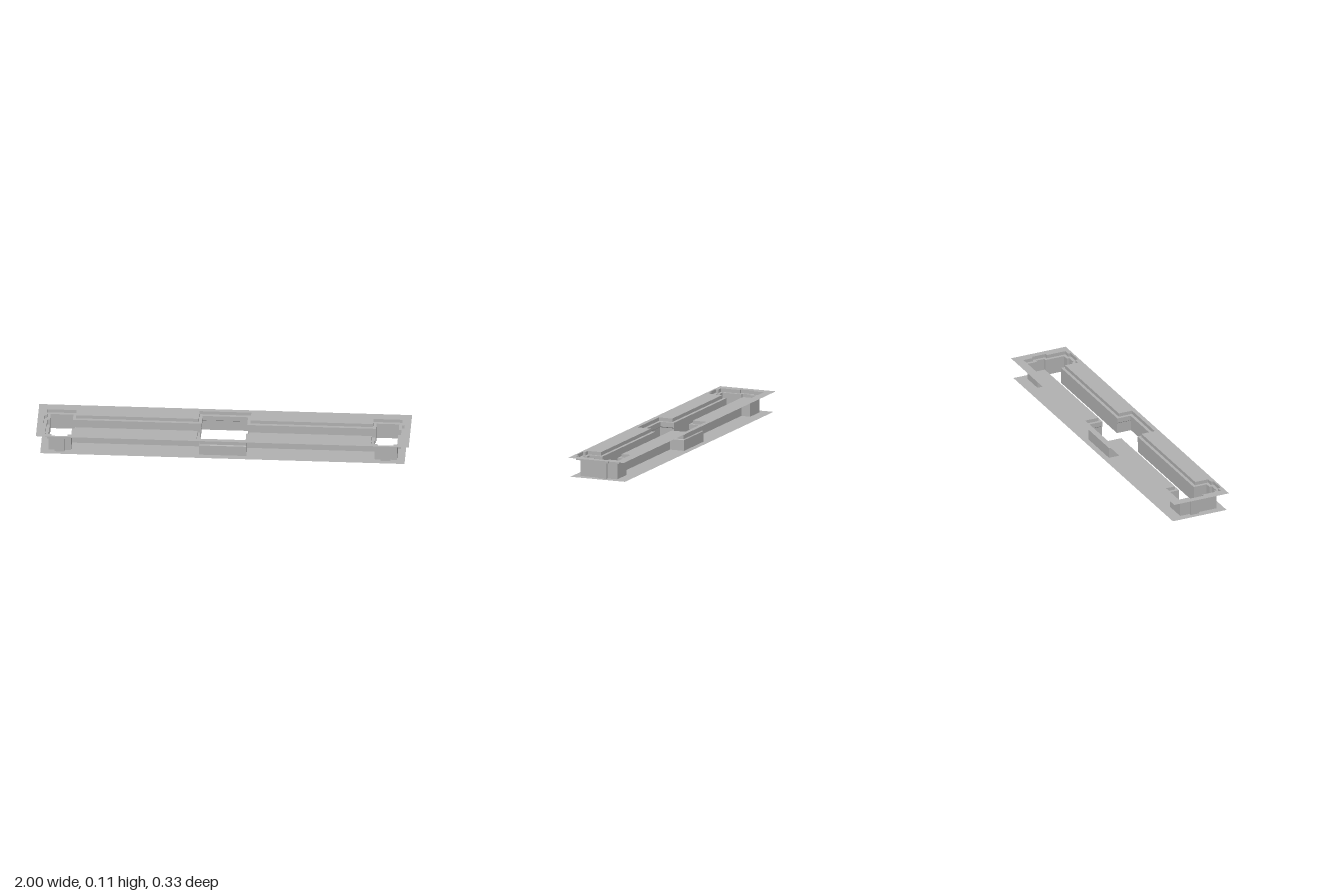
import * as THREE from 'three';

const grey = new THREE.MeshStandardMaterial({ color: 0xb0b0b0, side: THREE.DoubleSide });
grey.name = 'grey';
grey.flatShading = true;

// Cutout outline as [x, z] points; g widens it all round, c is the half size of the centre bay.
function outline(g, c) {
  const strip = 0.044 + g, inner = 0.813 - g, end = 0.935 + g;
  const back = -0.096 - g, front = 0.121 + g, tab = 0.136 + g;
  const half = [
    [c, -c], [c, -strip],
    [inner, -strip], [inner, back], [end, back],
    [end, -0.039 - g], [end + 0.015, -0.039 - g], [end + 0.015, 0.01 + g], [end, 0.01 + g],
    [end, front], [0.901 + g, front], [0.901 + g, tab], [0.847 - g, tab], [0.847 - g, front],
    [inner, front], [inner, strip], [c, strip], [c, c],
  ];
  return [...half, ...half.map(([x, z]) => [-x, z]).reverse()];
}

// Walls joining successive outlines, each given as [y, points]
function walls(name, rings) {
  const pos = [];
  for (let r = 0; r < rings.length - 1; r++) {
    const [ya, a] = rings[r], [yb, b] = rings[r + 1];
    for (let i = 0; i < a.length; i++) {
      const j = (i + 1) % a.length;
      const p = [a[i][0], ya, a[i][1]], q = [a[j][0], ya, a[j][1]];
      const s = [b[i][0], yb, b[i][1]], t = [b[j][0], yb, b[j][1]];
      pos.push(...p, ...q, ...s, ...q, ...t, ...s);
    }
  }
  const geo = new THREE.BufferGeometry();
  geo.setAttribute('position', new THREE.Float32BufferAttribute(pos, 3));
  geo.computeVertexNormals();
  const mesh = new THREE.Mesh(geo, grey);
  mesh.name = name;
  return mesh;
}

// Flat rectangular sheet pierced by an outline
function sheet(name, y, hw, hd, pts) {
  const vec = ([x, z]) => new THREE.Vector2(x, -z);
  const shape = new THREE.Shape([[-hw, hd], [hw, hd], [hw, -hd], [-hw, -hd]].map(vec));
  shape.holes.push(new THREE.Path(pts.map(vec)));
  const geo = new THREE.ShapeGeometry(shape);
  geo.rotateX(-Math.PI / 2);
  geo.translate(0, y, 0);
  const mesh = new THREE.Mesh(geo, grey);
  mesh.name = name;
  return mesh;
}

export function createModel() {
  const model = new THREE.Group();
  model.name = 'slottedFrame';

  const rim = outline(0.0165, 0.139);
  const upper = outline(0, 0.122);
  const lower = outline(0, 0.127);

  model.add(
    sheet('topSheet', 0.108, 1, 0.163, rim),
    sheet('bottomSheet', 0, 0.977, 0.16, lower),
    // recessed rim with its ledge
    walls('rim', [[0.108, rim], [0.089, rim], [0.089, upper]]),
    // slot walls, slightly wider at the bottom of the centre bay
    walls('slotWalls', [[0.089, upper], [0.0625, upper], [0.058, lower], [0, lower]]),
  );
  return model;
}
